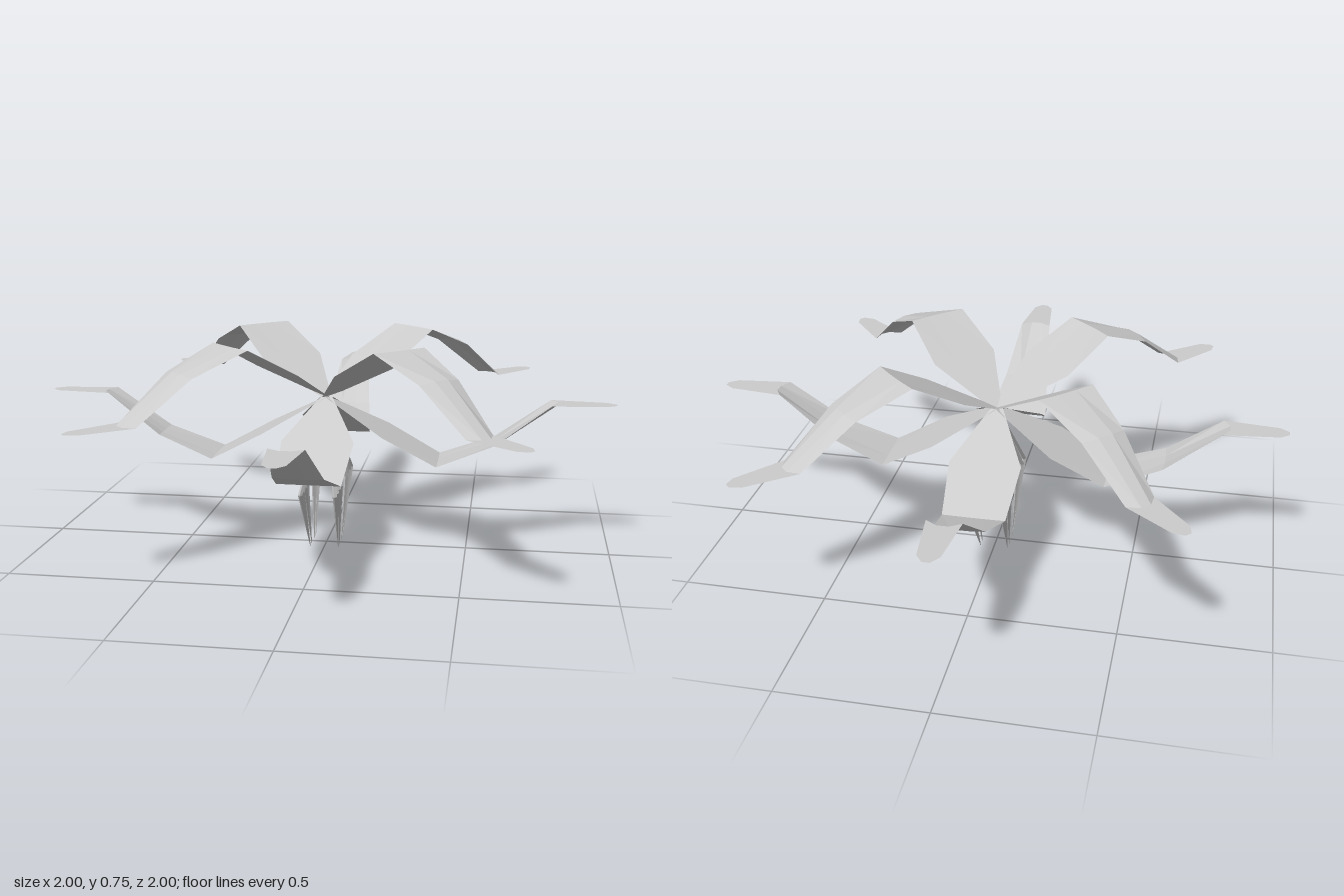
import * as THREE from 'three';

const BASE_Y = 0.535;

// Stations along a petal: distance from centre, rise, half width, extra rise and reach of the middle strip
const PETAL = [
  [0, 0, 0.02, 0, 0],
  [0.21, 0.115, 0.124, 0, 0],
  [0.395, 0.215, 0.107, 0, 0.004],
  [0.59, 0.14, 0.082, 0.008, 0.012],
  [0.78, 0, 0.056, 0, 0.03],
  [0.968, 0, 0.035, 0, 0.032],
];

// Thin bent sheet running along +x, four points across each station
function petalGeometry(sign, bulge) {
  const pos = [], index = [];
  for (const [r, rise, half, up, out] of PETAL) {
    for (const s of [-1, -0.33, 0.33, 1]) {
      const mid = Math.abs(s) < 1 ? 1 : 0;
      const reach = r > 0.9 ? out : out * bulge + (r > 0.7 ? (1 - bulge) * 0.02 : 0) * (mid ? 1 : 0.5);
      pos.push(r + mid * reach, BASE_Y + sign * (rise + mid * up * bulge), s * half);
    }
  }
  for (let i = 0; i < PETAL.length - 1; i++) {
    for (let j = 0; j < 3; j++) {
      const a = i * 4 + j, b = a + 4;
      index.push(a, a + 1, b, b, a + 1, b + 1);
    }
  }
  const g = new THREE.BufferGeometry();
  g.setAttribute('position', new THREE.Float32BufferAttribute(pos, 3));
  g.setIndex(index);
  g.computeVertexNormals();
  return g;
}

// Slim four-sided spike through base, elbow and tip
function stamenGeometry(points) {
  const radii = [[0.002, 0.003], [0.008, 0.015], [0.001, 0.002]];
  const pos = [], index = [];
  points.forEach(([x, y, z], i) => {
    const [rx, rz] = radii[i];
    pos.push(x + rx, y, z, x, y, z + rz, x - rx, y, z, x, y, z - rz);
  });
  for (let i = 0; i < 2; i++) {
    for (let j = 0; j < 4; j++) {
      const a = i * 4 + j, b = i * 4 + (j + 1) % 4;
      index.push(a, a + 4, b, b, a + 4, b + 4);
    }
  }
  const g = new THREE.BufferGeometry();
  g.setAttribute('position', new THREE.Float32BufferAttribute(pos, 3));
  g.setIndex(index);
  g.computeVertexNormals();
  return g;
}

export function createModel() {
  const model = new THREE.Group();
  model.name = 'flower';
  const material = new THREE.MeshStandardMaterial({
    color: 0xcccccc, flatShading: true, side: THREE.DoubleSide,
  });

  // Four drooping petals on the axes, four arching petals on the diagonals
  const droop = petalGeometry(-1, 0.3);
  const arch = petalGeometry(1, 1);
  for (let i = 0; i < 8; i++) {
    const petal = new THREE.Mesh(i % 2 ? arch : droop, material);
    petal.name = i % 2 ? 'archingPetal' : 'droopingPetal';
    petal.rotation.y = i * Math.PI / 4;
    model.add(petal);
  }

  // Hanging stamens in two mirrored rows: elbow z and tip z
  const stamens = new THREE.Group();
  stamens.name = 'stamens';
  for (const sx of [-1, 1]) {
    for (const sz of [-1, 1]) {
      for (const [elbow, tip] of [[0.21, 0.06], [0.165, 0.06], [0.11, 0.03], [0.07, 0.03]]) {
        const stamen = new THREE.Mesh(stamenGeometry([
          [sx * 0.003, BASE_Y - 0.005, 0],
          [sx * 0.06, 0.23, sz * elbow],
          [sx * 0.05, 0, sz * tip],
        ]), material);
        stamen.name = 'stamen';
        stamens.add(stamen);
      }
    }
  }
  model.add(stamens);
  return model;
}
